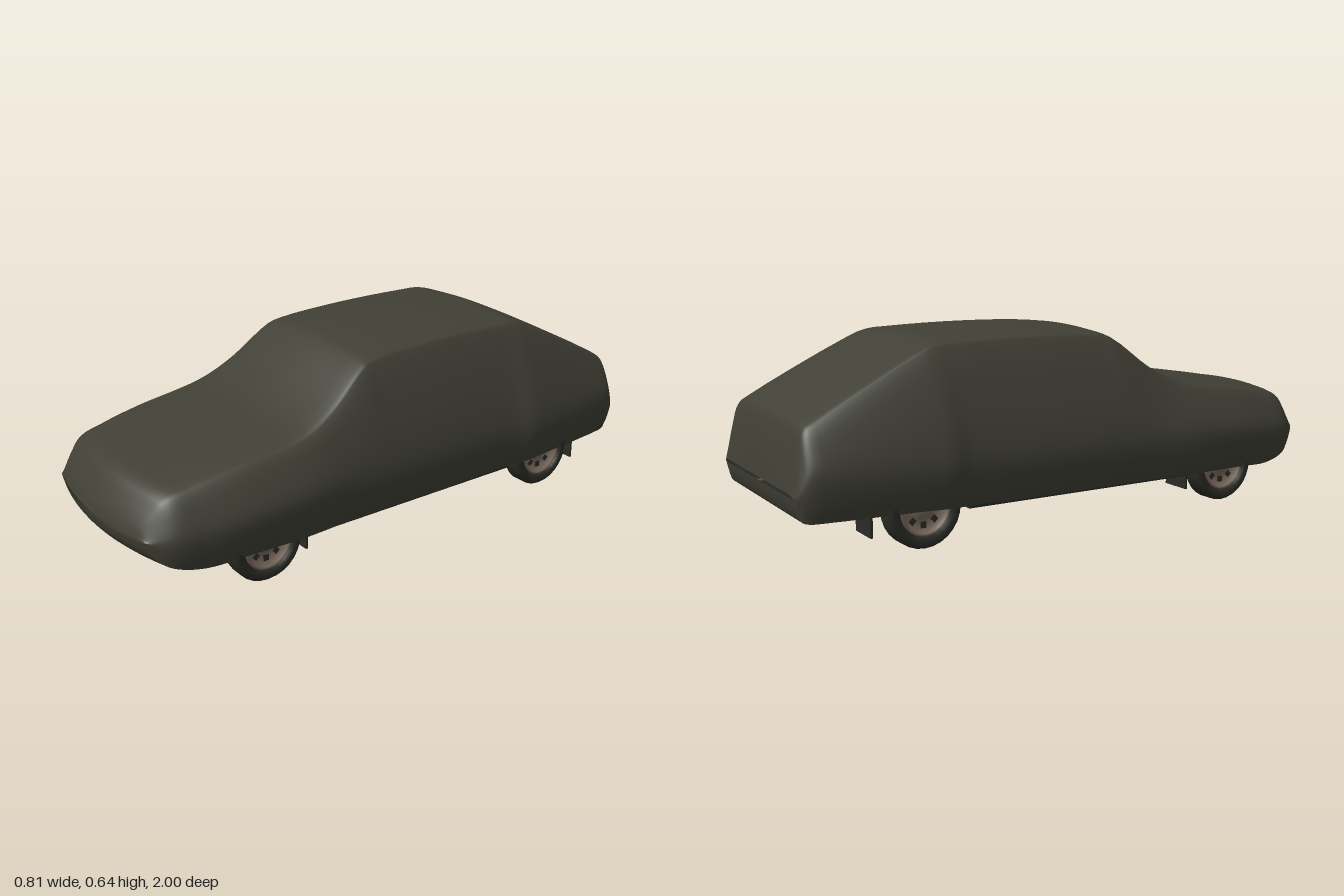
import * as THREE from 'three';

const mat = (name, color, side = THREE.FrontSide) => {
  const m = new THREE.MeshStandardMaterial({ color, side });
  m.name = name;
  return m;
};

// Grid surface through equally long rows of points
function loft(rows) {
  const n = rows[0].length, pos = [], idx = [];
  rows.forEach((r) => r.forEach((p) => pos.push(p.x, p.y, p.z)));
  for (let i = 0; i < rows.length - 1; i++)
    for (let j = 0; j < n - 1; j++) {
      const a = i * n + j, b = a + 1, c = a + n, d = c + 1;
      idx.push(a, b, c, b, d, c);
    }
  const g = new THREE.BufferGeometry();
  g.setAttribute('position', new THREE.Float32BufferAttribute(pos, 3));
  g.setIndex(idx);
  g.computeVertexNormals();
  return g;
}

// Cover stations: z, top y, roof edge x, widest x, hem y
const stations = [
  [1.0, 0.23, 0.26, 0.3, 0.218],
  [0.99, 0.262, 0.27, 0.315, 0.185],
  [0.96, 0.315, 0.29, 0.345, 0.145],
  [0.92, 0.36, 0.305, 0.362, 0.125],
  [0.82, 0.383, 0.315, 0.378, 0.108],
  [0.65, 0.411, 0.325, 0.395, 0.112],
  [0.45, 0.44, 0.33, 0.403, 0.112],
  [0.37, 0.465, 0.325, 0.4, 0.112],
  [0.28, 0.515, 0.312, 0.394, 0.112],
  [0.15, 0.613, 0.288, 0.392, 0.112],
  [0.1, 0.628, 0.28, 0.392, 0.112],
  [-0.15, 0.64, 0.277, 0.392, 0.112],
  [-0.44, 0.636, 0.277, 0.393, 0.115],
  [-0.52, 0.63, 0.279, 0.405, 0.118],
  [-0.6, 0.598, 0.284, 0.4, 0.12],
  [-0.92, 0.435, 0.302, 0.366, 0.12],
  [-0.955, 0.412, 0.3, 0.356, 0.12],
  [-0.975, 0.355, 0.296, 0.345, 0.125],
  [-0.992, 0.26, 0.29, 0.33, 0.16],
  [-1.0, 0.206, 0.28, 0.315, 0.196],
];

// Cross-section: crowned top, soft shoulder, full flank, hem pulled inwards
function ring([z, yt, we, wm, yb]) {
  const ye = yt - Math.min(0.028, (yt - yb) * 0.12);
  const ym = Math.min(0.26, yb + (yt - yb) * 0.45);
  const wb = wm * 0.93;
  const half = [
    [we * 0.55, yt - (yt - ye) * 0.22], [we * 0.92, yt - (yt - ye) * 0.6], [we, ye],
    [we + (wm - we) * 0.7, ye + (ym - ye) * 0.55], [wm, ym],
    [wm + (wb - wm) * 0.35, ym + (yb - ym) * 0.6], [wb, yb],
  ];
  const pts = [...half.map(([x, y]) => [-x, y]).reverse(), [0, yt], ...half];
  return new THREE.CatmullRomCurve3(pts.map(([x, y]) => new THREE.Vector3(x, y, z))).getPoints(56);
}

// Rounds the nose in plan
const bow = (p) => {
  const t = THREE.MathUtils.smoothstep(p.z, 0.6, 1);
  return new THREE.Vector3(p.x, p.y, p.z - 0.045 * t * (p.x / 0.3) ** 2);
};

export function createModel() {
  const car = new THREE.Group();
  car.name = 'coveredCar';
  const cover = mat('cover cloth', 0x404036, THREE.DoubleSide);
  const under = mat('underbody', 0x242822, THREE.DoubleSide);
  const frame = mat('chassis steel', 0x343a34);
  const rubber = mat('tyre rubber', 0x2b2b26);
  const rim = mat('wheel metal', 0x77685b);
  const rust = mat('rusty exhaust', 0x704634);
  const panel = mat('brown floor panel', 0x3e2a24);

  const add = (name, geo, material, x = 0, y = 0, z = 0, parent = car) => {
    const m = new THREE.Mesh(geo, material);
    m.name = name;
    m.position.set(x, y, z);
    parent.add(m);
    return m;
  };
  const box = (name, w, h, d, material, x, y, z, parent) =>
    add(name, new THREE.BoxGeometry(w, h, d), material, x, y, z, parent);
  const tube = (name, pts, r, material) => {
    const path = new THREE.CurvePath();
    const v = pts.map((p) => new THREE.Vector3(...p));
    for (let i = 0; i < v.length - 1; i++) path.add(new THREE.LineCurve3(v[i], v[i + 1]));
    add(name, new THREE.TubeGeometry(path, 60, r, 8), material);
  };

  // Draped cover, smoothed along its length
  const keys = stations.map(ring);
  const steps = (stations.length - 1) * 4;
  const columns = keys[0].map((_, j) => new THREE.CatmullRomCurve3(keys.map((k) => k[j])).getPoints(steps));
  const rows = Array.from({ length: steps + 1 }, (_, i) => columns.map((c) => c[i]));
  add('cover', loft(rows.map((r) => r.map(bow))), cover);

  // Cloth tucked under both bumpers
  const tuck = (name, test) => add(name, loft(rows.filter((r) => test(r[0].z)).map((r) =>
    Array.from({ length: 17 }, (_, k) => bow(r[0].clone().lerp(r[r.length - 1], k / 16))))), cover);
  tuck('frontTuck', (z) => z > 0.87);
  tuck('rearTuck', (z) => z < -0.955);

  // Floor pan with notches for the wheels
  const side = [[0.3, 0.87], [0.34, 0.73], [0.27, 0.73], [0.27, 0.42], [0.365, 0.42],
    [0.365, -0.45], [0.27, -0.45], [0.27, -0.75], [0.345, -0.75], [0.33, -0.97]];
  const outline = [...side, ...side.map(([x, z]) => [-x, z]).reverse()];
  const floor = new THREE.ExtrudeGeometry(new THREE.Shape(outline.map((p) => new THREE.Vector2(...p))),
    { depth: 0.012, bevelEnabled: false });
  floor.rotateX(Math.PI / 2);
  add('floorPan', floor, under, 0, 0.152, 0);

  // Chin below the front bumper
  const lip = new THREE.Shape();
  lip.moveTo(-0.32, 0.125);
  lip.quadraticCurveTo(-0.26, 0.082, 0, 0.08);
  lip.quadraticCurveTo(0.26, 0.082, 0.32, 0.125);
  add('chin', new THREE.ExtrudeGeometry(lip, { depth: 0.05, bevelEnabled: false }), under, 0, 0, 0.79);
  box('chinBar', 0.34, 0.006, 0.03, rim, 0, 0.083, 0.76);

  // Chassis rails, cross members and floor ribs
  for (const s of [-1, 1]) {
    box('chassisRail', 0.035, 0.03, 1.55, frame, s * 0.22, 0.128, -0.02);
    box('sill', 0.025, 0.035, 0.86, under, s * 0.345, 0.122, -0.015);
    box('sillEdge', 0.006, 0.012, 0.84, rim, s * 0.328, 0.113, -0.015);
    box('tunnelEdge', 0.02, 0.02, 0.8, frame, s * 0.075, 0.133, 0);
    for (const z of [0.26, -0.12]) box('floorRib', 0.08, 0.012, 0.24, frame, s * 0.145, 0.136, z);
  }
  for (const z of [0.76, 0.45, -0.4, -0.8]) box('crossMember', 0.5, 0.03, 0.04, frame, 0, 0.125, z);
  box('engineSump', 0.16, 0.045, 0.2, under, -0.05, 0.12, 0.6);
  box('gearbox', 0.1, 0.035, 0.22, frame, -0.01, 0.13, 0.36);
  box('rearFloorPanel', 0.16, 0.008, 0.12, panel, -0.1, 0.137, -0.5);
  box('sideFloorPanel', 0.07, 0.008, 0.2, panel, -0.27, 0.137, 0.18);

  // Exhaust line and silencers
  tube('exhaustPipe', [[0.19, 0.125, 0.59], [0.1, 0.115, 0.66], [0, 0.112, 0.3], [0, 0.112, -0.28],
    [0.14, 0.115, -0.49], [0.17, 0.13, -0.78], [0.17, 0.13, -0.97]], 0.011, rust);
  const silencer = (name, x, y, z, len) => {
    const g = new THREE.CylinderGeometry(0.04, 0.04, len, 16);
    g.rotateX(Math.PI / 2).scale(1, 0.55, 1);
    add(name, g, rust, x, y, z);
  };
  silencer('middleSilencer', 0, 0.118, 0.08, 0.24);
  silencer('rearSilencer', 0.17, 0.132, -0.87, 0.16);

  // Axles and suspension arms
  tube('rearAxle', [[-0.3, 0.125, -0.6], [0.3, 0.125, -0.6]], 0.02, frame);
  for (const s of [-1, 1]) {
    tube('frontArm', [[s * 0.3, 0.115, 0.575], [s * 0.12, 0.12, 0.53]], 0.013, frame);
    tube('tieRod', [[s * 0.3, 0.125, 0.64], [s * 0.08, 0.125, 0.66]], 0.008, frame);
    tube('trailingArm', [[s * 0.25, 0.115, -0.6], [s * 0.25, 0.125, -0.36]], 0.013, frame);
  }

  // Wheels, arches and mud flaps
  const tyreProfile = [[0.082, -0.03], [0.1, -0.037], [0.117, -0.035], [0.125, -0.024],
    [0.125, 0.024], [0.117, 0.035], [0.1, 0.037], [0.082, 0.03], [0.082, -0.03]];
  const rimProfile = [[0, -0.02], [0.07, -0.02], [0.086, -0.032], [0.086, 0.031],
    [0.076, 0.031], [0.068, 0.014], [0.035, 0.012], [0.026, 0.024], [0, 0.024]];
  const lathe = (p) => new THREE.LatheGeometry(p.map((q) => new THREE.Vector2(...q)), 28);
  for (const s of [-1, 1]) for (const z of [0.575, -0.6]) {
    const wheel = new THREE.Group();
    wheel.name = z > 0 ? 'frontWheel' : 'rearWheel';
    wheel.position.set(s * 0.333, 0.125, z);
    wheel.rotation.z = -s * Math.PI / 2;
    car.add(wheel);
    add('tyre', lathe(tyreProfile), rubber, 0, 0, 0, wheel);
    add('rim', lathe(rimProfile), rim, 0, 0, 0, wheel);
    for (let k = 0; k < 8; k++) {
      const a = k * Math.PI / 4;
      const slot = box('rimSlot', 0.02, 0.006, 0.018, rubber, Math.cos(a) * 0.052, 0.0145, Math.sin(a) * 0.052, wheel);
      slot.rotation.y = -a;
    }
    const arch = new THREE.CylinderGeometry(0.15, 0.15, 0.1, 20, 1, true, -Math.PI / 2, Math.PI);
    arch.rotateZ(Math.PI / 2).rotateX(-Math.PI / 2);
    add('wheelArch', arch, under, s * 0.32, 0.14, z);
    box('archWall', 0.006, 0.13, 0.3, under, s * 0.27, 0.205, z);
    box('mudFlap', 0.11, 0.09, 0.008, rubber, s * 0.295, 0.1, z > 0 ? 0.422 : -0.772);
  }
  return car;
}
